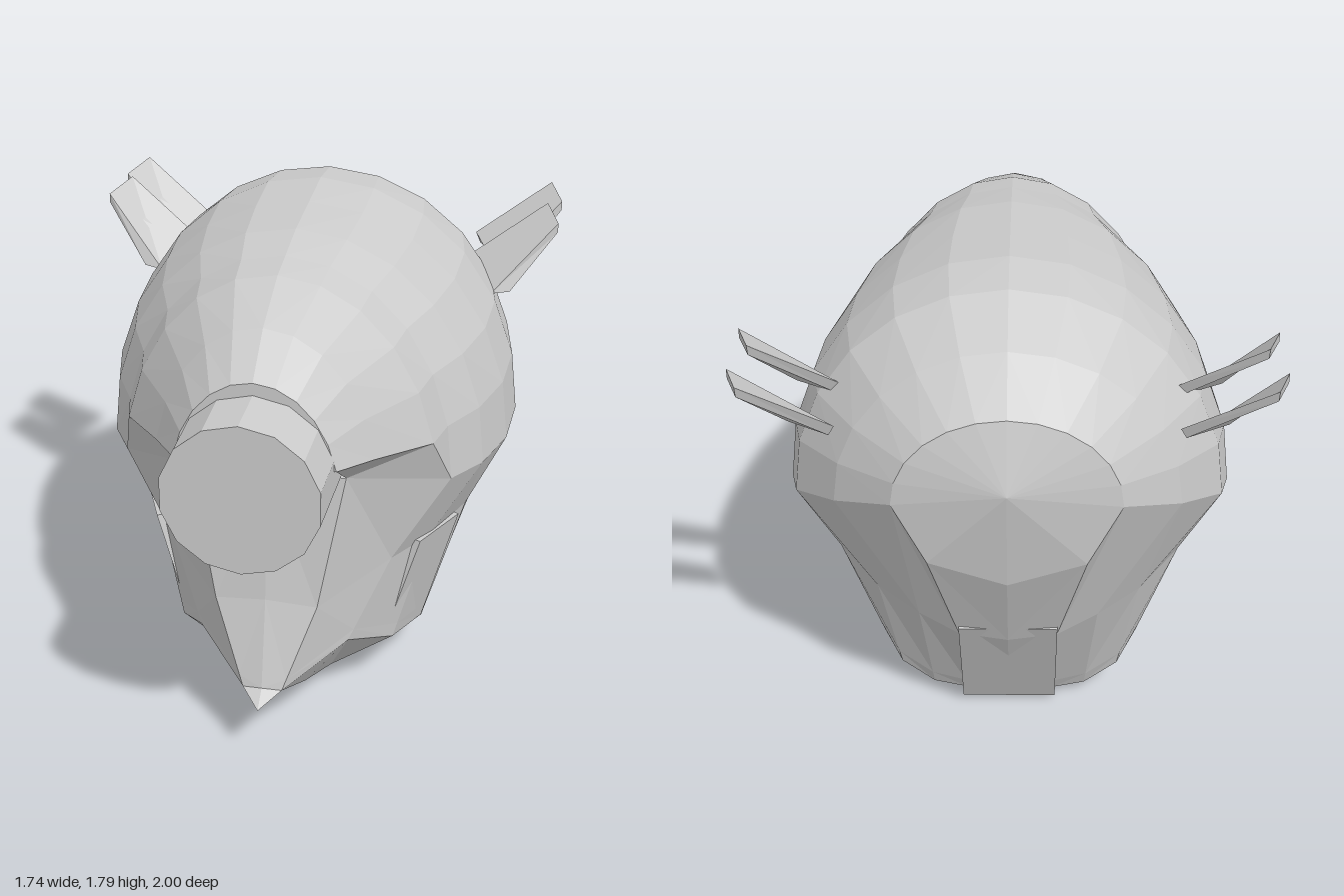
import * as THREE from 'three';

const grey = new THREE.MeshStandardMaterial({ color: 0xcccccc, flatShading: true, side: THREE.DoubleSide });
grey.name = 'light grey';

const lerp = (a, b, t) => a.map((v, i) => v + (b[i] - v) * t);

function meshFrom(name, triangles) {
  const geo = new THREE.BufferGeometry();
  geo.setAttribute('position', new THREE.Float32BufferAttribute(triangles.flat(2), 3));
  geo.computeVertexNormals();
  const mesh = new THREE.Mesh(geo, grey);
  mesh.name = name;
  return mesh;
}

const same = (a, b) => a.every((v, i) => Math.abs(v - b[i]) < 1e-6);
const flip = ([x, y, z]) => [-x, y, z];

// Mirrored skin over columns (front to back) of points (top to bottom)
function shell(name, cols) {
  const tris = [];
  const add = (a, b, c) => {
    if (same(a, b) || same(b, c) || same(a, c)) return;
    tris.push([a, b, c], [flip(a), flip(c), flip(b)]);
  };
  for (let i = 0; i < cols.length - 1; i++) {
    for (let j = 0; j < cols[i].length - 1; j++) {
      const a = cols[i][j], b = cols[i][j + 1], c = cols[i + 1][j + 1], d = cols[i + 1][j];
      add(a, b, c);
      add(a, c, d);
    }
  }
  return meshFrom(name, tris);
}

// Six-sided plate from four outer corners (anticlockwise from outside) and four inner ones
function plate(name, o, n) {
  const quad = (a, b, c, d) => [[a, b, c], [a, c, d]];
  const tris = [...quad(...o), ...quad(n[3], n[2], n[1], n[0])];
  for (let i = 0; i < 4; i++) {
    const k = (i + 1) % 4;
    tris.push(...quad(o[i], n[i], n[k], o[k]));
  }
  return meshFrom(name, tris);
}

function mirrored(name, o, n) {
  return [plate('left' + name, o, n),
    plate('right' + name, o.map(flip).reverse(), n.map(flip).reverse())];
}

export function createModel() {
  const group = new THREE.Group();
  group.name = 'helmet';

  // Dome rings: z, half width, centre height, rise
  const rings = [
    [0.79, 0, 1.19, 0], [0.79, 0.28, 1.11, 0.39], [0.63, 0.385, 1.03, 0.59], [0.4, 0.555, 0.94, 0.77],
    [0.27, 0.59, 0.94, 0.79], [0.09, 0.685, 0.92, 0.84], [-0.15, 0.75, 0.905, 0.87],
    [-0.38, 0.765, 0.92, 0.87], [-0.57, 0.725, 0.99, 0.78], [-0.77, 0.57, 1.09, 0.57],
    [-0.93, 0.37, 1.19, 0.32], [-1, 0, 1.27, 0],
  ];
  const dome = rings.map(([z, rx, cy, ry], i) => {
    const col = [];
    for (let k = 6; k >= 0; k--) {
      const a = Math.max(k, i < 4 ? 1 : 0) * Math.PI / 12; // the brow is cut higher at the front
      col.push([rx * Math.cos(a), cy + ry * Math.sin(a), z]);
    }
    return col;
  });
  const edge = i => dome[i][6];
  group.add(shell('dome', dome));

  // Lower back of the dome around its pole
  const pole = [0, 1.27, -1];
  const backSide = [0.26, 0.96, -0.93], backLow = [0, 0.87, -0.93];
  group.add(shell('backCap', [[pole, edge(10)], [pole, backSide], [pole, backLow]]));

  // Face, cheeks and back: upper, middle and rim point of each column
  const faceTop = [0.27, 1.08, 0.59];
  const columns = [
    [[0, 1.08, 0.59], [0, 0.6, 0.645], [0, 0.23, 0.79]],
    [faceTop, [0.18, 0.58, 0.63], [0.07, 0.27, 0.71]],
    [edge(4), [0.4, 0.65, 0.37], [0.27, 0.37, 0.5]],
    [edge(5), [0.51, 0.64, 0.17], [0.4, 0.25, 0.27]],
    [edge(6), [0.615, 0.64, -0.1], [0.475, 0.18, 0]],
    [edge(7), [0.64, 0.65, -0.3], [0.48, 0.17, -0.15]],
    [edge(8), [0.6, 0.67, -0.46], [0.47, 0.24, -0.4]],
    [edge(9), [0.46, 0.6, -0.6], [0.4, 0.13, -0.46]],
    [edge(10), [0.31, 0.57, -0.71], [0.28, 0.05, -0.48]],
    [backSide, [0.17, 0.52, -0.76], [0.16, 0.03, -0.49]],
    [backLow, [0, 0.5, -0.77], [0, 0.02, -0.5]],
  ];
  const lower = columns.map(([top, mid, rim], i) => {
    const low = lerp(mid, rim, 0.87);
    if (i === 0) low[2] -= 0.05; // chin point juts forward
    return [top, mid, low, rim];
  });
  group.add(shell('faceAndNeck', lower));

  // Underside of the brow
  group.add(shell('browUnderside', [1, 2, 3, 4].map(i => [edge(i), faceTop])));

  // Jaw underside, from the rim to the centre line
  const keel = [0.23, 0.215, 0.13, 0.05, 0.005, 0, 0.08, 0.05, 0.03, 0.02, 0.02];
  group.add(shell('jaw', columns.map(([, , rim], i) => {
    const [x, y, z] = rim;
    return [rim, [x * 0.42, Math.min(y, keel[i] + 0.04), z], [0, keel[i], z]];
  })));

  // Round snout
  const snout = new THREE.Mesh(new THREE.CylinderGeometry(0.265, 0.275, 0.5, 14), grey);
  snout.name = 'snout';
  snout.rotation.x = Math.PI / 2;
  snout.position.set(0, 1.188, 0.75);
  group.add(snout);

  // Cheek plates
  const cheek = [[0.49, 0.67, 0.27], [0.37, 0.26, 0.3], [0.475, 0.19, 0.02], [0.6, 0.645, 0]];
  group.add(...mirrored('CheekPlate', cheek, cheek.map(([x, y, z]) => [x - 0.07, y, z - 0.03])));

  // Neck plate
  const neck = [[0.17, 0.58, -0.765], [0.17, 0.04, -0.505], [-0.17, 0.04, -0.505], [-0.17, 0.58, -0.765]];
  const neckOut = neck.map(([x, y, z]) => [x, y - 0.015, z - 0.025]);
  group.add(plate('neckPlate', neckOut, neck.map(([x, y, z]) => [x, y, z + 0.05])));

  // Two pairs of fins
  for (const [name, dz] of [['FrontFin', 0], ['RearFin', -0.25]]) {
    const top = [[0.87, 1.61, -0.55], [0.82, 1.635, -0.7], [0.54, 1.44, -0.61], [0.64, 1.35, -0.45]];
    const under = [[0.87, 1.575, -0.55], [0.82, 1.595, -0.69], [0.56, 1.4, -0.6], [0.71, 1.36, -0.46]];
    const shift = p => [p[0], p[1], p[2] + dz];
    group.add(...mirrored(name, top.map(shift), under.map(shift)));
  }
  return group;
}
